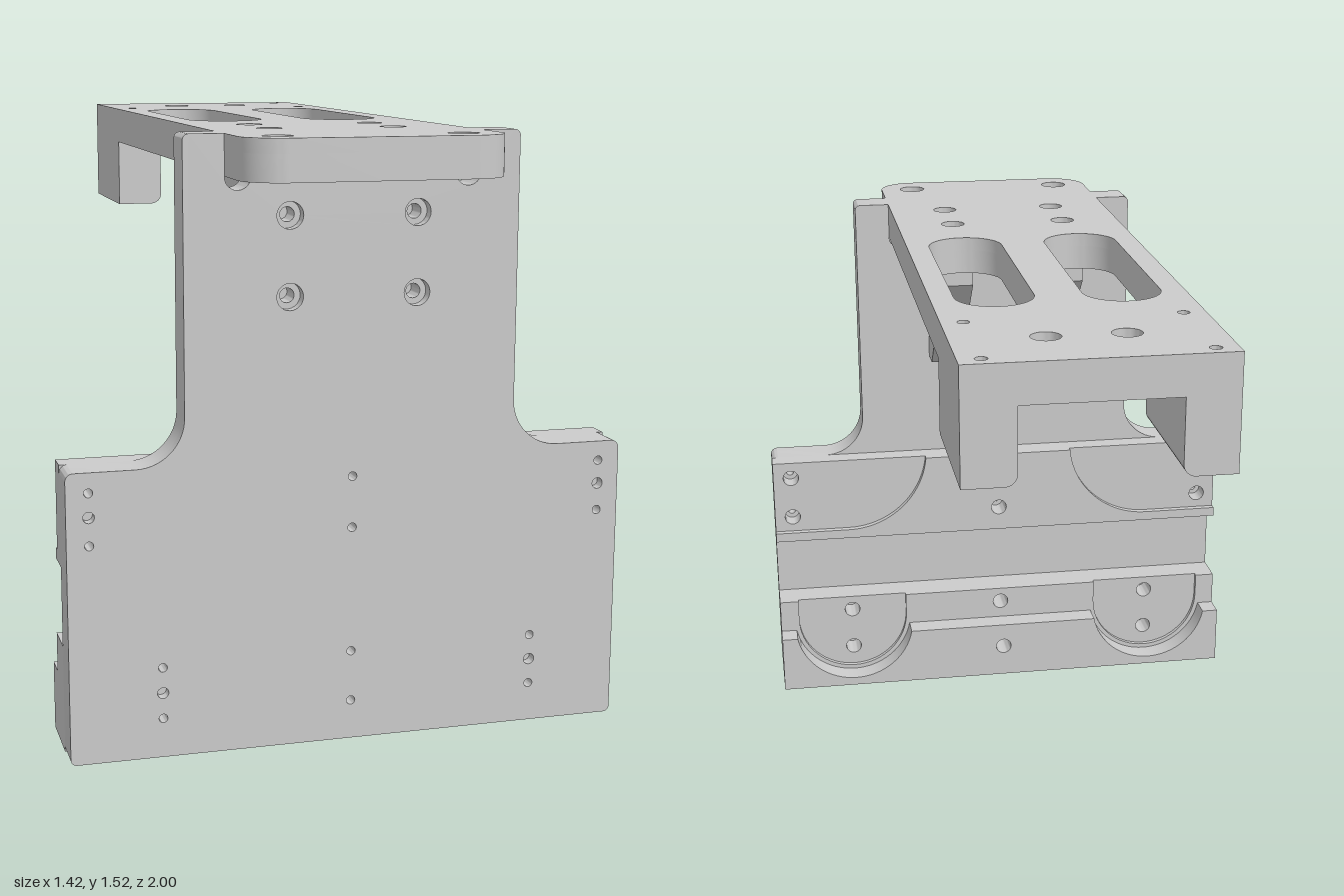
import * as THREE from 'three';
import { toCreasedNormals } from 'three/addons/utils/BufferGeometryUtils.js';

const material = new THREE.MeshStandardMaterial({ color: 0xcccccc });

// Closed outline from [x, y, cornerRadius] points
function outline(points, Type = THREE.Shape) {
  const path = new Type();
  const n = points.length;
  points.forEach(([x, y, r = 0], i) => {
    const toward = ([px, py], d) => {
      const len = Math.hypot(px - x, py - y);
      return [x + (px - x) * d / len, y + (py - y) * d / len];
    };
    const prev = points[(i + n - 1) % n], next = points[(i + 1) % n];
    const a = toward(prev, r), b = toward(next, r);
    if (i === 0) path.moveTo(...a); else path.lineTo(...a);
    if (r) path.bezierCurveTo(...toward(prev, r * 0.448), ...toward(next, r * 0.448), ...b);
  });
  path.closePath();
  return path;
}

const rect = (x0, y0, x1, y1, r = 0, Type) =>
  outline([[x0, y0, r], [x1, y0, r], [x1, y1, r], [x0, y1, r]], Type);

// Round holes; each point off the middle is also mirrored in x
function drill(shape, radius, points) {
  for (const [x, y] of points) {
    for (const s of x ? [1, -1] : [1]) {
      shape.holes.push(new THREE.Path().absarc(s * x, y, radius, 0, Math.PI * 2, true));
    }
  }
  return shape;
}

const extrude = (shape, depth) =>
  new THREE.ExtrudeGeometry(shape, { depth, bevelEnabled: false, curveSegments: 16 });

function add(group, name, geometry) {
  const mesh = new THREE.Mesh(toCreasedNormals(geometry, 0.5), material);
  mesh.name = name;
  group.add(mesh);
}

// Slab facing +z, from z0 to z1
const upright = (shape, z0, z1) => extrude(shape, z1 - z0).translate(0, 0, z0);
// Slab lying flat, drawn in x and z, from y0 to y1
const flat = (shape, y0, y1) => extrude(shape, y1 - y0).rotateX(Math.PI / 2).translate(0, y1, 0);

// Lower rail outline with two round notches open at the top
function notchedRail(top, r) {
  const cy = 0.21;
  const a = Math.min(0, Math.asin(Math.max(-1, Math.min(1, (top - cy) / r))));
  const s = new THREE.Shape();
  s.moveTo(-0.71, 0);
  s.lineTo(0.71, 0);
  s.lineTo(0.71, top);
  for (const cx of [0.48, -0.48]) {
    s.lineTo(cx + r * Math.cos(a), top);
    s.absarc(cx, cy, r, a, -Math.PI - a, true);
    s.lineTo(cx - r * Math.cos(a), top);
  }
  s.lineTo(-0.71, top);
  s.closePath();
  return s;
}

export function createModel() {
  const model = new THREE.Group();
  model.name = 'mountingBracket';

  const bracketHoles = [[0.16, 1.325], [0.16, 1.13]];
  const upperHoles = [[0, 0.68], [0, 0.55], [0.655, 0.68], [0.655, 0.55]];
  const lowerHoles = [[0, 0.23], [0, 0.1], [0.48, 0.23], [0.48, 0.1]];
  const blindHoles = [[0.655, 0.62], [0.48, 0.165]];

  // Front plate: stepped outline, notch for the arm with relieved corners
  const half = [[0.71, 0, 0.015], [0.71, 0.73, 0.02], [0.42, 0.73, 0], [0.42, 1.52, 0.015],
    [0.32, 1.52], [0.32, 1.387, 0.032], [0.256, 1.387, 0.032], [0.256, 1.42]];
  half[2][2] = 0.12;
  const plate = () => outline([...half, ...half.map(([x, y, r]) => [-x, y, r]).reverse()]);
  const plateFront = drill(drill(plate(), 0.033, bracketHoles), 0.011, [...upperHoles, ...lowerHoles]);
  add(model, 'frontPlateFace', upright(drill(plateFront, 0.014, blindHoles), 0.745, 0.775));
  const plateBack = drill(drill(plate(), 0.018, bracketHoles), 0.011, [...upperHoles, ...lowerHoles]);
  add(model, 'frontPlateBack', upright(plateBack, 0.68, 0.745));

  // Upper rail: base, then a thin layer leaving a round-cornered recess at each end
  add(model, 'upperRailBase',
    upright(drill(rect(-0.71, 0.475, 0.71, 0.73), 0.024, upperHoles), 0.62, 0.68));
  const land = new THREE.Shape();
  land.moveTo(-0.71, 0.475);
  land.lineTo(0.71, 0.475);
  land.lineTo(0.71, 0.503);
  land.lineTo(0.48, 0.503);
  land.absarc(0.48, 0.753, 0.25, -Math.PI / 2, -Math.PI + 0.092, true);
  land.lineTo(-0.231, 0.73);
  land.absarc(-0.48, 0.753, 0.25, -0.092, -Math.PI / 2, true);
  land.lineTo(-0.71, 0.503);
  land.closePath();
  add(model, 'upperRailLand', upright(drill(land, 0.024, upperHoles.slice(0, 2)), 0.6, 0.62));

  // Lower rail: base, shallow pocket layer and lip
  add(model, 'lowerRailBase',
    upright(drill(rect(-0.71, 0, 0.71, 0.275), 0.024, lowerHoles), 0.592, 0.68));
  add(model, 'lowerRailStep',
    upright(drill(notchedRail(0.275, 0.172), 0.024, lowerHoles.slice(0, 2)), 0.578, 0.592));
  add(model, 'lowerRailLip',
    upright(drill(notchedRail(0.175, 0.185), 0.024, [[0, 0.1]]), 0.51, 0.578));

  // Top arm: counterbored upper layer over a lower layer, with two long slots
  const armLayer = (boltR, mountR) => {
    const s = outline([[-0.32, -1], [0.32, -1], [0.32, 1, 0.1], [-0.32, 1, 0.1]]);
    for (const x of [-0.26, 0.06]) {
      s.holes.push(rect(x, -0.535, x + 0.2, 0.205, 0.0999, THREE.Path));
    }
    drill(s, mountR, [[0.095, -0.81], [0.225, 0.9]]);
    drill(s, boltR, [[0.16, 0.385], [0.16, 0.58]]);
    return drill(s, 0.015, [[0.265, -0.96], [0.265, -0.66]]);
  };
  add(model, 'armTop', flat(armLayer(0.033, 0.037), 1.485, 1.52));
  add(model, 'armUnderside', flat(armLayer(0.018, 0.025), 1.42, 1.485));

  for (const s of [1, -1]) {
    const side = s > 0 ? 'left' : 'right';

    // Rear legs: drilled block with a rounded inner edge
    const leg = rect(Math.min(s * 0.23, s * 0.32), -1, Math.max(s * 0.23, s * 0.32), -0.61);
    for (const z of [-0.96, -0.66]) {
      leg.holes.push(new THREE.Path().absarc(s * 0.265, z, 0.024, 0, Math.PI * 2, true));
    }
    add(model, side + 'RearLeg', flat(leg, 1.23, 1.42));
    const edge = outline([[s * 0.23, 1.23], [s * 0.23, 1.42], [s * 0.19, 1.42], [s * 0.19, 1.23, 0.03]]);
    add(model, side + 'RearLegEdge', upright(edge, -1, -0.61));

    // Triangular gussets, drawn in z and y
    const gusset = outline([[0.68, 1.04], [0.68, 1.42], [0.295, 1.42], [0.295, 1.36], [0.61, 1.04]]);
    gusset.holes.push(outline([[0.612, 1.36, 0.012], [0.425, 1.36, 0.012], [0.415, 1.325, 0.01],
      [0.585, 1.157, 0.012], [0.612, 1.165, 0.01]], THREE.Path));
    add(model, side + 'Gusset',
      extrude(gusset, 0.09).rotateY(-Math.PI / 2).translate(s * 0.16 + 0.045, 0, 0));
  }

  return model;
}
